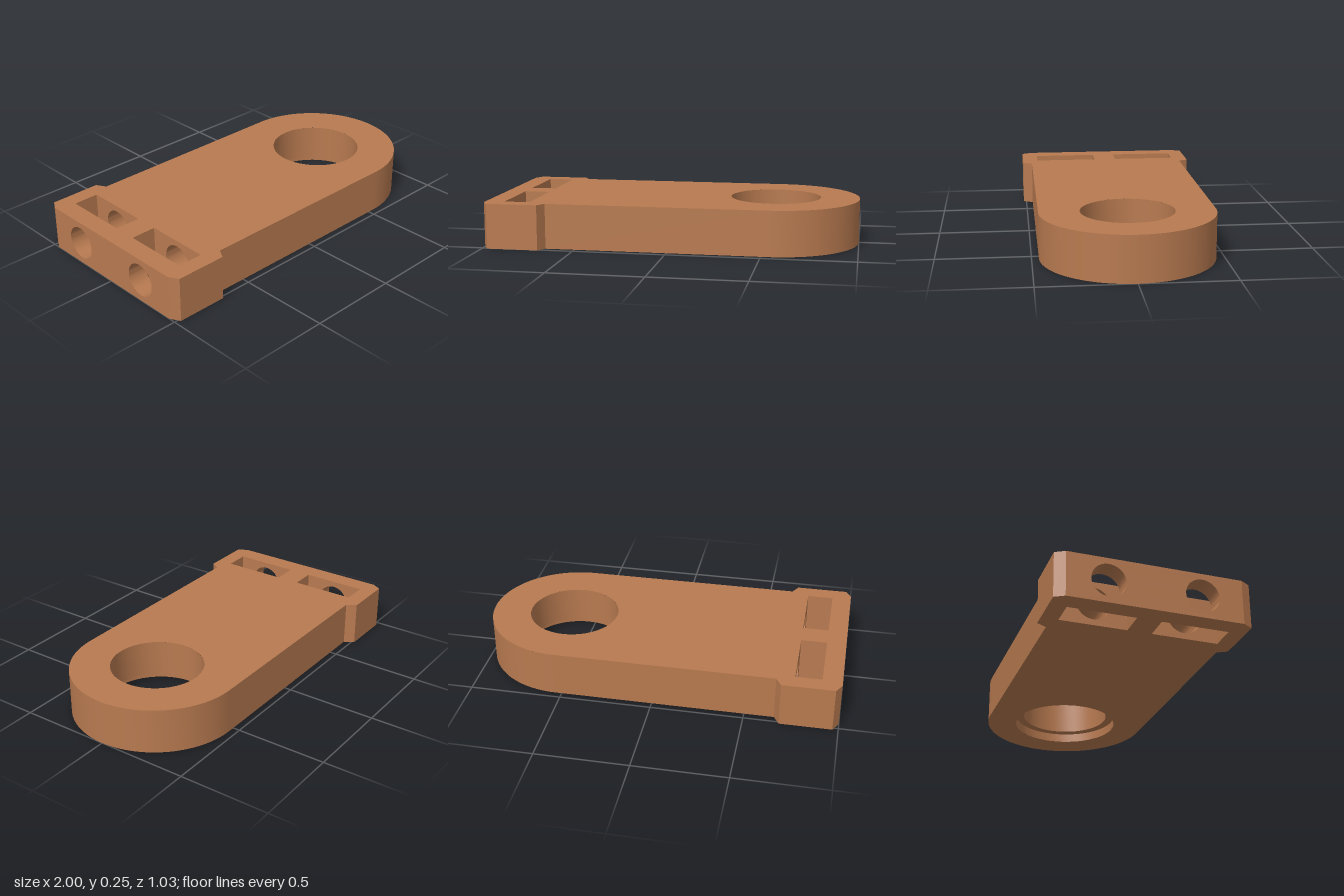
import * as THREE from 'three';
import { toCreasedNormals, mergeGeometries } from 'three/addons/utils/BufferGeometryUtils.js';

const H = 0.245;                               // plate thickness
const R = 0.462, CX = 0.538;                   // rounded end
const BORE = 0.248, RECESS = 0.295, STEP = 0.05;
const SLOT = { x0: -0.895, x1: -0.755, z: 0.245, half: 0.18 };
const SCREW = 0.09, SCREW_END = -0.45;

// Front edge of the plate as [x, z]; the back edge mirrors it
const EDGE = [[-1, 0.462], [-0.97, 0.515], [-0.69, 0.515], [-0.66, 0.462], [CX, R]];

export function createModel() {
  const group = new THREE.Group();
  const material = new THREE.MeshStandardMaterial({ color: 0xb87a50 });
  const add = (name, ...geos) => {
    const mesh = new THREE.Mesh(geos.length > 1 ? mergeGeometries(geos) : geos[0], material);
    mesh.name = name;
    group.add(mesh);
  };

  // Upright wall from a to b, facing right-hand side seen from above
  const wall = (a, b) => {
    const dx = b[0] - a[0], dz = b[1] - a[1];
    return new THREE.PlaneGeometry(Math.hypot(dx, dz), H)
      .rotateY(-Math.atan2(dz, dx))
      .translate((a[0] + b[0]) / 2, H / 2, (a[1] + b[1]) / 2);
  };
  const circle = (x, y, r) => new THREE.Path().absarc(x, y, r, 0, Math.PI * 2, true);

  // Wall across the plate with round holes, facing -x or +x
  const drilledWall = (x, z, half, holes, facing) => {
    const s = new THREE.Shape([[-half, 0], [half, 0], [half, H], [-half, H]].map(p => new THREE.Vector2(...p)));
    holes.forEach(c => s.holes.push(circle(c, H / 2, SCREW)));
    return new THREE.ShapeGeometry(s, 24).rotateY(facing * Math.PI / 2).translate(x, 0, z);
  };
  // Inward-facing revolved surface; the profile runs downwards
  const bored = pts => toCreasedNormals(
    new THREE.LatheGeometry(pts.map(p => new THREE.Vector2(...p)), 64), 0.6);

  // Top and bottom faces
  const face = hole => {
    const s = new THREE.Shape();
    EDGE.forEach(([x, z], i) => (i ? s.lineTo(x, -z) : s.moveTo(x, -z)));
    s.absarc(CX, 0, R, -Math.PI / 2, Math.PI / 2, false);
    [...EDGE].reverse().forEach(([x, z]) => s.lineTo(x, z));
    s.closePath();
    s.holes.push(circle(CX, 0, hole));
    for (const k of [-1, 1]) {
      const a = k * SLOT.z - SLOT.half, b = k * SLOT.z + SLOT.half;
      s.holes.push(new THREE.Path([[SLOT.x0, a], [SLOT.x0, b], [SLOT.x1, b], [SLOT.x1, a]]
        .map(p => new THREE.Vector2(...p))));
    }
    return new THREE.ShapeGeometry(s, 48);
  };
  add('topFace', face(BORE).rotateX(-Math.PI / 2).translate(0, H, 0));
  add('bottomFace', face(RECESS).rotateX(Math.PI / 2));

  // Outer sides, rounded end and drilled end
  const sides = [];
  for (let i = 0; i < EDGE.length - 1; i++) {
    const [a, b] = [EDGE[i], EDGE[i + 1]];
    sides.push(wall(a, b), wall([b[0], -b[1]], [a[0], -a[1]]));
  }
  add('outerSides', ...sides);
  add('roundedEnd', new THREE.CylinderGeometry(R, R, H, 64, 1, true, 0, Math.PI).translate(CX, H / 2, 0));
  add('drilledEnd', drilledWall(-1, 0, EDGE[0][1], [-SLOT.z, SLOT.z], -1));

  // Stepped main bore, wider at the bottom
  add('mainBore', bored([[BORE, H], [BORE, STEP], [RECESS, STEP], [RECESS, 0]]).translate(CX, 0, 0));

  // Nut slots with the screw holes crossing them
  for (const k of [-1, 1]) {
    const z = k * SLOT.z, { x0, x1, half } = SLOT;
    const side = k > 0 ? 'left' : 'right';
    add(side === 'left' ? 'frontNutSlot' : 'backNutSlot',
      drilledWall(x0, z, half, [0], 1),
      drilledWall(x1, z, half, [0], -1),
      wall([x0, z - half], [x1, z - half]),
      wall([x1, z + half], [x0, z + half]));
    const place = g => g.rotateZ(-Math.PI / 2).translate(0, H / 2, z);
    add(side === 'left' ? 'frontScrewHole' : 'backScrewHole',
      place(bored([[SCREW, x0], [SCREW, -1]])),
      place(bored([[0, SCREW_END], [SCREW, SCREW_END], [SCREW, x1]])));
  }
  return group;
}
